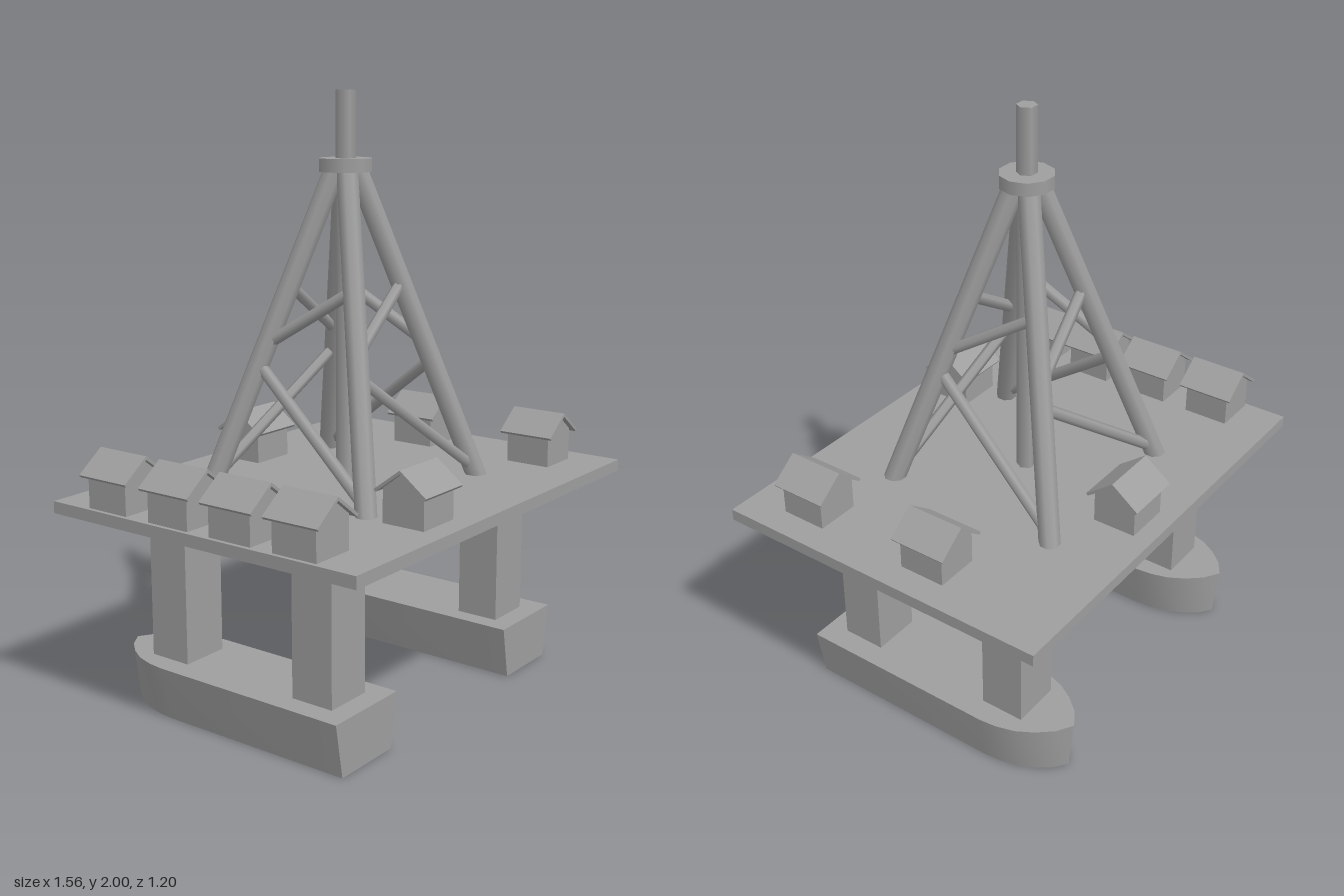
import * as THREE from 'three';
import { toCreasedNormals } from 'three/addons/utils/BufferGeometryUtils.js';

const material = new THREE.MeshStandardMaterial({ color: 0x9e9e9e });
const UP = new THREE.Vector3(0, 1, 0);

function add(parent, name, geometry, x = 0, y = 0, z = 0) {
  const mesh = new THREE.Mesh(geometry, material);
  mesh.name = name;
  mesh.position.set(x, y, z);
  parent.add(mesh);
  return mesh;
}

// Straight round bar between two points
function bar(parent, name, a, b, radius, sides) {
  const geometry = new THREE.CylinderGeometry(radius, radius, a.distanceTo(b), sides);
  geometry.rotateY(Math.PI / sides);
  const mesh = add(parent, name, geometry);
  mesh.position.copy(a).lerp(b, 0.5);
  mesh.quaternion.setFromUnitVectors(UP, b.clone().sub(a).normalize());
}

function shapeOf(points) {
  return new THREE.Shape(points.map(([x, y]) => new THREE.Vector2(x, y)));
}

// Prism centred along z
function prism(points, length) {
  const geometry = new THREE.ExtrudeGeometry(shapeOf(points), { depth: length, bevelEnabled: false });
  return geometry.translate(0, 0, -length / 2);
}

// Pontoon: square stern at +z, pointed bow at -z, sides flaring upward
function pontoonGeometry() {
  const side = [[0.155, -0.417], [0.155, 0.29], [0.148, 0.35], [0.13, 0.41], [0.098, 0.465], [0.055, 0.515]];
  const outline = [...side, [0, 0.55], ...side.map(([x, y]) => [-x, y]).reverse()];
  const geometry = new THREE.ExtrudeGeometry(shapeOf(outline), { depth: 0.18, bevelEnabled: false });
  geometry.rotateX(-Math.PI / 2);
  const p = geometry.attributes.position;
  for (let i = 0; i < p.count; i++) {
    if (p.getY(i) > 0.01) continue;
    p.setX(i, p.getX(i) * 0.8);
    if (p.getZ(i) < 0) p.setZ(i, p.getZ(i) * 0.968);
  }
  return toCreasedNormals(geometry, 0.6);
}

// Small gabled cabin with an overhanging roof, ridge along its own z
function cabin(parent, x, z, turned) {
  const group = new THREE.Group();
  group.name = 'cabin';
  group.position.set(x, 0.72, z);
  if (turned) group.rotation.y = Math.PI / 2;
  add(group, 'cabinWalls', prism([[-0.075, 0], [0.075, 0], [0.075, 0.112], [0, 0.17], [-0.075, 0.112]], 0.16));
  add(group, 'cabinRoof', prism([[0, 0.18], [-0.095, 0.108], [-0.089, 0.1], [0, 0.168], [0.089, 0.1], [0.095, 0.108]], 0.2));
  parent.add(group);
}

function derrick() {
  const group = new THREE.Group();
  group.name = 'derrick';
  group.position.set(0.002, 0, -0.021);
  const corners = [[-1, 1], [1, 1], [1, -1], [-1, -1]];
  // Point on the axis of leg i at height y
  const onLeg = (i, y) => {
    const [sx, sz] = corners[i % 4];
    const r = THREE.MathUtils.mapLinear(y, 0.72, 1.75, 0.316, 0.025);
    return new THREE.Vector3(sx * r, y, sz * r);
  };
  for (let i = 0; i < 4; i++) {
    bar(group, 'derrickLeg', onLeg(i, 0.705), onLeg(i, 1.76), 0.036, 8);
    bar(group, 'lowerBrace', onLeg(i + 1, 0.745), onLeg(i, 1.12), 0.02, 6);
    bar(group, 'upperBrace', onLeg(i, 1.185), onLeg(i + 1, 1.38), 0.02, 6);
  }
  const crown = new THREE.CylinderGeometry(0.089, 0.089, 0.043, 10).rotateY(Math.PI / 2);
  add(group, 'crownRing', crown, 0, 1.764, 0);
  const mast = new THREE.CylinderGeometry(0.033, 0.033, 1.28, 6).rotateY(Math.PI / 2);
  add(group, 'drillMast', mast, 0, 1.36, 0);
  return group;
}

export function createModel() {
  const model = new THREE.Group();
  model.name = 'drillingPlatform';

  // Floating base and columns
  for (const s of [-1, 1]) {
    add(model, 'pontoon', pontoonGeometry(), s * 0.475 + 0.003, 0, 0);
    for (const z of [0.268, -0.321]) {
      add(model, 'column', new THREE.BoxGeometry(0.168, 0.52, 0.152), s * 0.47 + 0.002, 0.43, z);
    }
  }

  add(model, 'deck', new THREE.BoxGeometry(1.552, 0.04, 1.2), 0.002, 0.7, 0);
  model.add(derrick());

  // Cabins around the deck edge
  for (const z of [-0.37, -0.115, 0.131, 0.372]) cabin(model, -0.685, z, false);
  for (const z of [-0.115, 0.372]) cabin(model, 0.608, z, false);
  cabin(model, -0.258, 0.45, true);
  cabin(model, 0.056, -0.46, true);
  return model;
}
